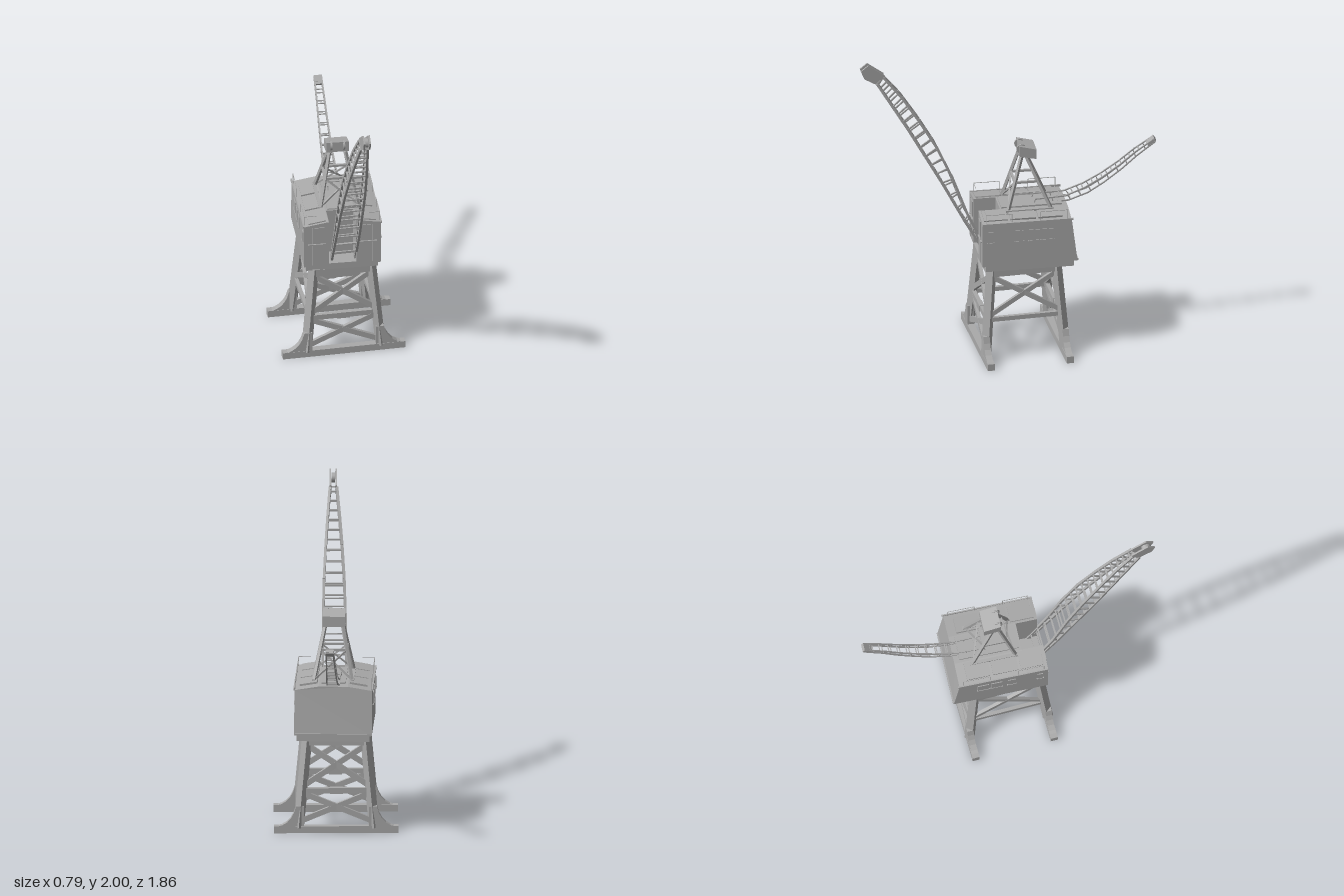
import * as THREE from 'three';

const paint = new THREE.MeshStandardMaterial({ color: 0xaaaaaa });
paint.name = 'greyPaint';

const V = (x, y, z) => new THREE.Vector3(x, y, z);

function add(parent, geometry, name, x = 0, y = 0, z = 0) {
  const m = new THREE.Mesh(geometry, paint);
  m.name = name;
  m.position.set(x, y, z);
  parent.add(m);
  return m;
}
const box = (parent, name, w, h, d, x, y, z) => add(parent, new THREE.BoxGeometry(w, h, d), name, x, y, z);

function group(parent, name, x = 0, z = 0, turn = 0) {
  const g = new THREE.Group();
  g.name = name;
  g.position.set(x, 0, z);
  g.rotation.y = turn;
  parent.add(g);
  return g;
}

// Straight square bar between two points
function bar(parent, name, a, b, w, h = w) {
  const m = box(parent, name, w, h, a.distanceTo(b), 0, 0, 0);
  m.position.copy(a).add(b).multiplyScalar(0.5);
  const o = new THREE.Object3D();
  o.position.copy(m.position);
  o.up.set(0, 1, 0.001);
  o.lookAt(b);
  m.quaternion.copy(o.quaternion);
  return m;
}

// Flat outline in x/y pulled from z0 to z1
function slab(parent, name, points, z0, z1) {
  const shape = new THREE.Shape(points.map(p => new THREE.Vector2(p[0], p[1])));
  const g = new THREE.ExtrudeGeometry(shape, { depth: z1 - z0, bevelEnabled: false });
  return add(parent, g, name, 0, 0, z0);
}

// Point at parameter t on a [z, y] polyline
function along(points, t) {
  const f = Math.min(Math.max(t, 0), 1) * (points.length - 1);
  const i = Math.min(Math.floor(f), points.length - 2);
  const k = f - i;
  return points[i].map((v, n) => v + (points[i + 1][n] - v) * k);
}

// Four-chord lattice arm; lower and upper are rows of [z, y, halfWidth]
function lattice(parent, name, lower, upper, stations, chord, lace) {
  const at = (row, t, s) => { const p = along(row, t); return V(s * p[2], p[1], p[0]); };
  for (const row of [lower, upper]) {
    for (const s of [-1, 1])
      for (let i = 0; i < row.length - 1; i++) {
        const t = i / (row.length - 1);
        bar(parent, name + 'Chord', at(row, t, s), at(row, t + 1 / (row.length - 1), s), chord);
      }
    for (let i = 0; i <= stations; i++) {
      const t = (i + (row === upper ? 0.5 : 0)) / stations;
      bar(parent, name + 'Rung', at(row, t, -1), at(row, t, 1), lace);
    }
  }
  for (const s of [-1, 1])
    for (let i = 0; i <= stations; i++)
      bar(parent, name + 'Strut', at(lower, i / stations, s), at(upper, i / stations, s), lace);
}

function buildGantry(root) {
  const g = group(root, 'gantry', 0, -0.065, -0.03);
  const leg = (sx, sz, y) => {
    const k = (0.58 - y) / 0.54;
    return V(sx * (0.182 + 0.05 * k), y, sz * (0.208 + 0.042 * k));
  };
  for (const sz of [-1, 1]) {
    box(g, 'railBeam', 0.77, 0.044, 0.045, 0, 0.022, sz * 0.25);
    bar(g, 'topBeam', leg(-1, sz, 0.575), leg(1, sz, 0.575), 0.045, 0.05);
    bar(g, 'crossBeam', leg(-1, sz, 0.263), leg(1, sz, 0.263), 0.025, 0.034);
    box(g, 'beamJoint', 0.08, 0.04, 0.032, 0, 0.263, sz * 0.233);
    for (const sx of [-1, 1]) {
      bar(g, 'leg', leg(sx, sz, 0.03), leg(sx, sz, 0.6), 0.05, 0.042);
      bar(g, 'upperBrace', leg(-sx, sz, 0.29), leg(sx, sz, 0.55), 0.022, 0.034);
      bar(g, 'lowerBrace', leg(-sx, sz, 0.07), leg(sx, sz, 0.25), 0.022, 0.034);
      // Curved foot gusset
      const s = new THREE.Shape();
      s.moveTo(0.2, 0.03);
      s.lineTo(0.37, 0.04);
      s.quadraticCurveTo(0.275, 0.055, 0.25, 0.17);
      s.lineTo(0.2, 0.17);
      const foot = add(g, new THREE.ExtrudeGeometry(s, { depth: 0.04, bevelEnabled: false, curveSegments: 5 }), 'footGusset');
      foot.rotation.y = sx < 0 ? Math.PI : 0;
      foot.position.z = sz * 0.25 - sx * 0.02;
    }
  }
  for (const sx of [-1, 1]) {
    bar(g, 'sideTopBeam', leg(sx, -1, 0.575), leg(sx, 1, 0.575), 0.04, 0.05);
    bar(g, 'sideTie', leg(sx, -1, 0.268), leg(sx, 1, 0.268), 0.022, 0.028);
    for (const sz of [-1, 1])
      bar(g, 'sideBrace', leg(sx, -sz, 0.29), leg(sx, sz, 0.55), 0.02, 0.03);
  }
  add(g, new THREE.CylinderGeometry(0.2, 0.2, 0.055, 40), 'slewRing', 0, 0.58, 0);
}

function buildHouse(root) {
  const g = group(root, 'machineryHouse', 0, 0, -0.08);
  box(g, 'turntable', 0.45, 0.042, 0.55, 0, 0.619, -0.105);
  // Main body with a tapered rear wall
  const body = slab(g, 'houseBody', [[-0.24, 0.64], [0.24, 0.64], [0.24, 0.93], [0.09, 0.955], [-0.09, 0.955], [-0.24, 0.93]], -0.4, 0.06);
  const p = body.geometry.attributes.position;
  for (let i = 0; i < p.count; i++)
    if (p.getZ(i) < 0.01 && p.getY(i) > 0.7) { p.setZ(i, 0.035); p.setY(i, p.getY(i) - 0.01); }
  body.geometry.computeVertexNormals();
  // Front bays either side of the boom recess
  slab(g, 'frontBayLeft', [[0.085, 0.64], [0.24, 0.64], [0.24, 0.93], [0.09, 0.955], [0.085, 0.955]], 0.06, 0.195);
  slab(g, 'frontBayRight', [[-0.24, 0.64], [-0.085, 0.64], [-0.085, 0.955], [-0.09, 0.955], [-0.24, 0.93]], 0.06, 0.195);
  box(g, 'recessFloor', 0.17, 0.015, 0.135, 0, 0.648, 0.128);
  box(g, 'roofWalkway', 0.15, 0.01, 0.38, 0, 0.957, -0.14);
  for (const s of [-1, 1]) {
    // Roof panels, eaves and handrails
    for (const [z, d] of [[0.105, 0.15], [-0.065, 0.16], [-0.235, 0.15]]) {
      const panel = box(g, 'roofPanel', 0.11, 0.012, d, s * 0.155, 0.946, z);
      panel.rotation.z = -s * 0.165;
    }
    box(g, 'eave', 0.008, 0.012, 0.57, s * 0.242, 0.928, -0.09);
    for (const [z0, z1] of [[0.17, 0.01], [-0.17, -0.34]]) {
      bar(g, 'handrail', V(s * 0.235, 0.99, z0), V(s * 0.235, 0.99, z1), 0.003);
      for (const z of [z0, z1]) bar(g, 'railPost', V(s * 0.235, 0.92, z), V(s * 0.235, 0.99, z), 0.003);
    }
    bar(g, 'frontHandrail', V(s * 0.235, 0.99, 0.17), V(s * 0.16, 0.99, 0.17), 0.003);
    // Side windows
    for (const [z, w] of [[0.145, 0.035], [-0.035, 0.05], [-0.13, 0.07], [-0.215, 0.07]]) {
      box(g, 'sideWindow', 0.008, 0.07, w, s * 0.241, 0.84, z);
      box(g, 'windowSill', 0.014, 0.006, w + 0.01, s * 0.241, 0.802, z);
    }
    // Front doors and windows
    box(g, 'frontWindow', 0.06, 0.1, 0.008, s * 0.145, 0.87, 0.196);
    box(g, 'frontSeam', 0.005, 0.27, 0.006, s * 0.187, 0.785, 0.196);
    box(g, 'frontSill', 0.11, 0.006, 0.012, s * 0.16, 0.8, 0.197);
  }
  box(g, 'rearSkirt', 0.47, 0.012, 0.012, 0, 0.646, -0.4);
  return g;
}

function buildMast(house) {
  const g = group(house, 'mast', 0.005, -0.1);
  const front = (s, y) => { const k = (1.29 - y) / 0.35; return V(s * (0.05 + 0.07 * k), y, 0.02 + 0.1 * k); };
  const rear = (s, y) => { const k = (1.29 - y) / 0.35; return V(s * (0.05 + 0.07 * k), y, -0.01 - 0.15 * k); };
  for (const s of [-1, 1]) {
    bar(g, 'mastFrontLeg', front(s, 0.94), front(s, 1.29), 0.018);
    bar(g, 'mastRearLeg', rear(s, 0.94), rear(s, 1.29), 0.018);
    bar(g, 'mastSideTie', front(s, 1.13), rear(s, 1.13), 0.014);
    bar(g, 'mastBrace', front(-s, 0.96), front(s, 1.13), 0.01);
    bar(g, 'mastBrace', rear(-s, 0.96), rear(s, 1.13), 0.01);
    box(g, 'mastFootRail', 0.02, 0.015, 0.3, s * 0.12, 0.955, -0.02);
    // Sheaves on the front of the head
    const wheel = add(g, new THREE.CylinderGeometry(0.03, 0.03, 0.012, 20), 'mastSheave', s * 0.04, 1.34, 0.02);
    wheel.rotation.z = Math.PI / 2;
  }
  for (const f of [front, rear]) bar(g, 'mastCrossTie', f(-1, 1.13), f(1, 1.13), 0.014);
  const head = slab(g, 'mastHead', [[-0.035, 1.3], [0.072, 1.275], [0.072, 1.34], [-0.035, 1.368]], -0.07, 0.07);
  head.rotation.y = Math.PI / 2;
  head.position.set(-0.07, 0, 0);
}

function buildBoom(root) {
  const g = group(root, 'boom', 0.002, 0, -0.025);
  const lower = [[0.15, 0.65, 0.074], [0.29, 0.9, 0.073], [0.43, 1.17, 0.069], [0.535, 1.36, 0.063], [0.64, 1.55, 0.051], [0.735, 1.71, 0.037], [0.83, 1.87, 0.022]];
  const upper = [[0.14, 0.66, 0.074], [0.265, 0.93, 0.073], [0.36, 1.19, 0.069], [0.46, 1.41, 0.063], [0.57, 1.6, 0.051], [0.675, 1.765, 0.037], [0.79, 1.91, 0.022]];
  lattice(g, 'boom', lower, upper, 18, 0.015, 0.009);
  // Forked boom head
  const plate = [[-0.93, 1.965], [-0.885, 2], [-0.78, 1.92], [-0.82, 1.855], [-0.91, 1.91]].reverse();
  for (const s of [-1, 1]) {
    const m = slab(g, 'boomHeadPlate', plate, 0, 0.01);
    m.rotation.y = Math.PI / 2;
    m.position.set(s * 0.018 - 0.005, 0, 0);
  }
  const sheave = add(g, new THREE.CylinderGeometry(0.03, 0.03, 0.02, 20), 'boomSheave', 0, 1.945, 0.88);
  sheave.rotation.z = Math.PI / 2;
}

function buildRearJib(house) {
  const g = group(house, 'rearJib');
  const lower = [[-0.16, 0.955, 0.042], [-0.38, 0.96, 0.037], [-0.5, 1.0, 0.033], [-0.6, 1.06, 0.03], [-0.71, 1.14, 0.027], [-0.81, 1.225, 0.024], [-0.925, 1.31, 0.022]];
  const upper = [[-0.17, 0.985, 0.042], [-0.36, 0.99, 0.037], [-0.48, 1.035, 0.033], [-0.59, 1.095, 0.03], [-0.7, 1.17, 0.027], [-0.8, 1.25, 0.024], [-0.915, 1.325, 0.022]];
  lattice(g, 'rearJib', lower, upper, 11, 0.008, 0.006);
  const tip = box(g, 'rearJibHead', 0.05, 0.022, 0.06, 0, 1.307, -0.9);
  tip.rotation.x = 0.65;
}

export function createModel() {
  const root = new THREE.Group();
  root.name = 'harbourCrane';
  buildGantry(root);
  const house = buildHouse(root);
  buildMast(house);
  buildRearJib(house);
  buildBoom(root);
  return root;
}
